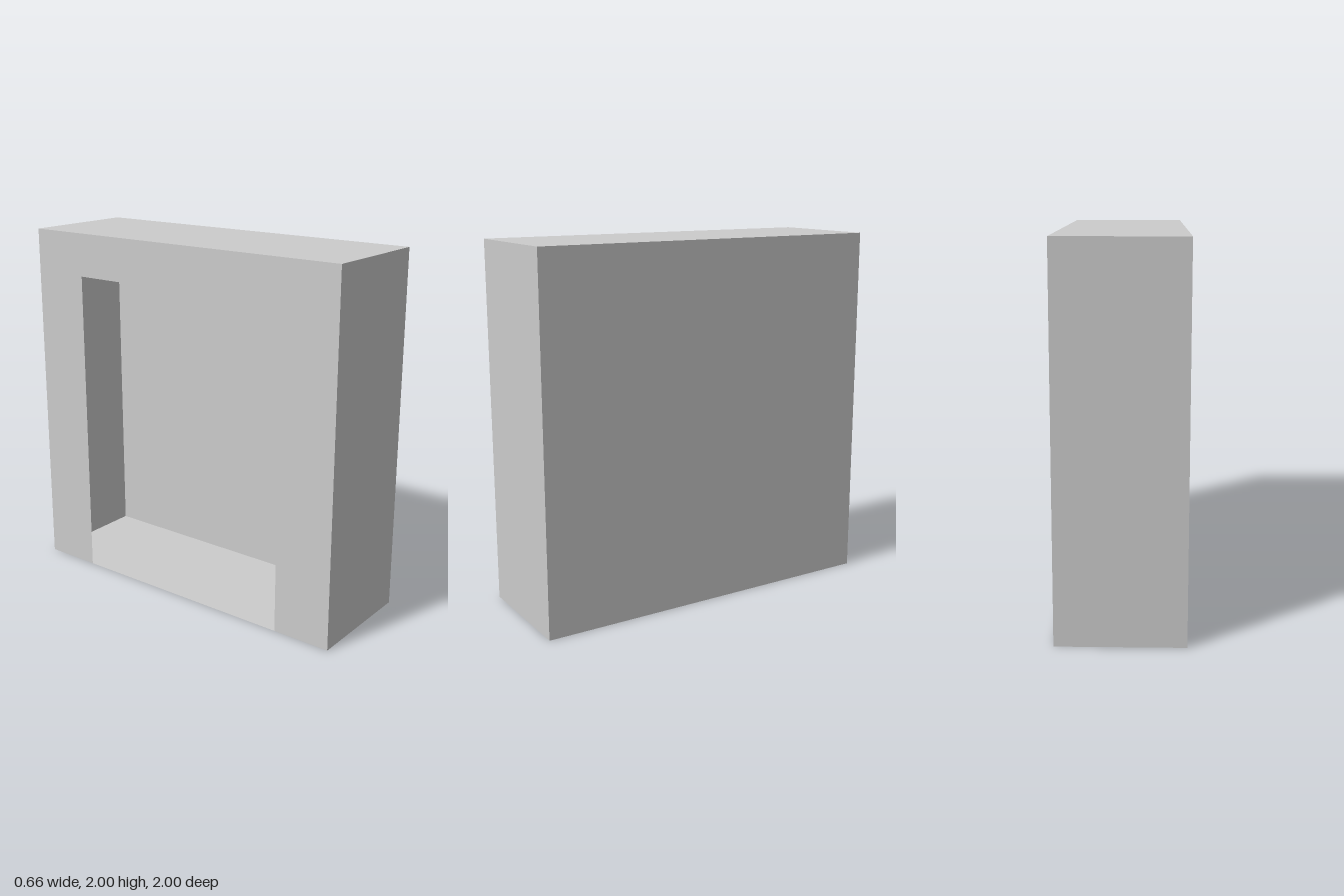
import * as THREE from 'three';

const HALF_W = 0.33, HALF_D = 1, HEIGHT = 2;
const DOOR_HALF = 0.67, DOOR_TOP = 1.76;

export function createModel() {
  const group = new THREE.Group();
  const material = new THREE.MeshStandardMaterial({
    color: 0xcccccc, flatShading: true, side: THREE.DoubleSide,
  });

  function addPanel(name, geometry, position, rotX, rotY) {
    const mesh = new THREE.Mesh(geometry, material);
    mesh.name = name;
    mesh.position.set(...position);
    mesh.rotation.set(rotX, rotY, 0);
    group.add(mesh);
  }

  // Thin outer shell: front, back, closed side, roof and floor
  const end = new THREE.PlaneGeometry(2 * HALF_W, HEIGHT);
  const slab = new THREE.PlaneGeometry(2 * HALF_W, 2 * HALF_D);
  const side = new THREE.PlaneGeometry(2 * HALF_D, HEIGHT);
  addPanel('frontWall', end, [0, HEIGHT / 2, HALF_D], 0, 0);
  addPanel('backWall', end, [0, HEIGHT / 2, -HALF_D], 0, Math.PI);
  addPanel('closedSideWall', side, [HALF_W, HEIGHT / 2, 0], 0, Math.PI / 2);
  addPanel('roof', slab, [0, HEIGHT, 0], -Math.PI / 2, 0);
  addPanel('floor', slab, [0, 0, 0], Math.PI / 2, 0);

  // Side wall with a doorway that reaches the floor
  const outline = new THREE.Shape([
    [-HALF_D, 0], [-DOOR_HALF, 0], [-DOOR_HALF, DOOR_TOP], [DOOR_HALF, DOOR_TOP],
    [DOOR_HALF, 0], [HALF_D, 0], [HALF_D, HEIGHT], [-HALF_D, HEIGHT],
  ].map(([z, y]) => new THREE.Vector2(z, y)));
  addPanel('doorwayWall', new THREE.ShapeGeometry(outline), [-HALF_W, 0, 0], 0, -Math.PI / 2);

  return group;
}
